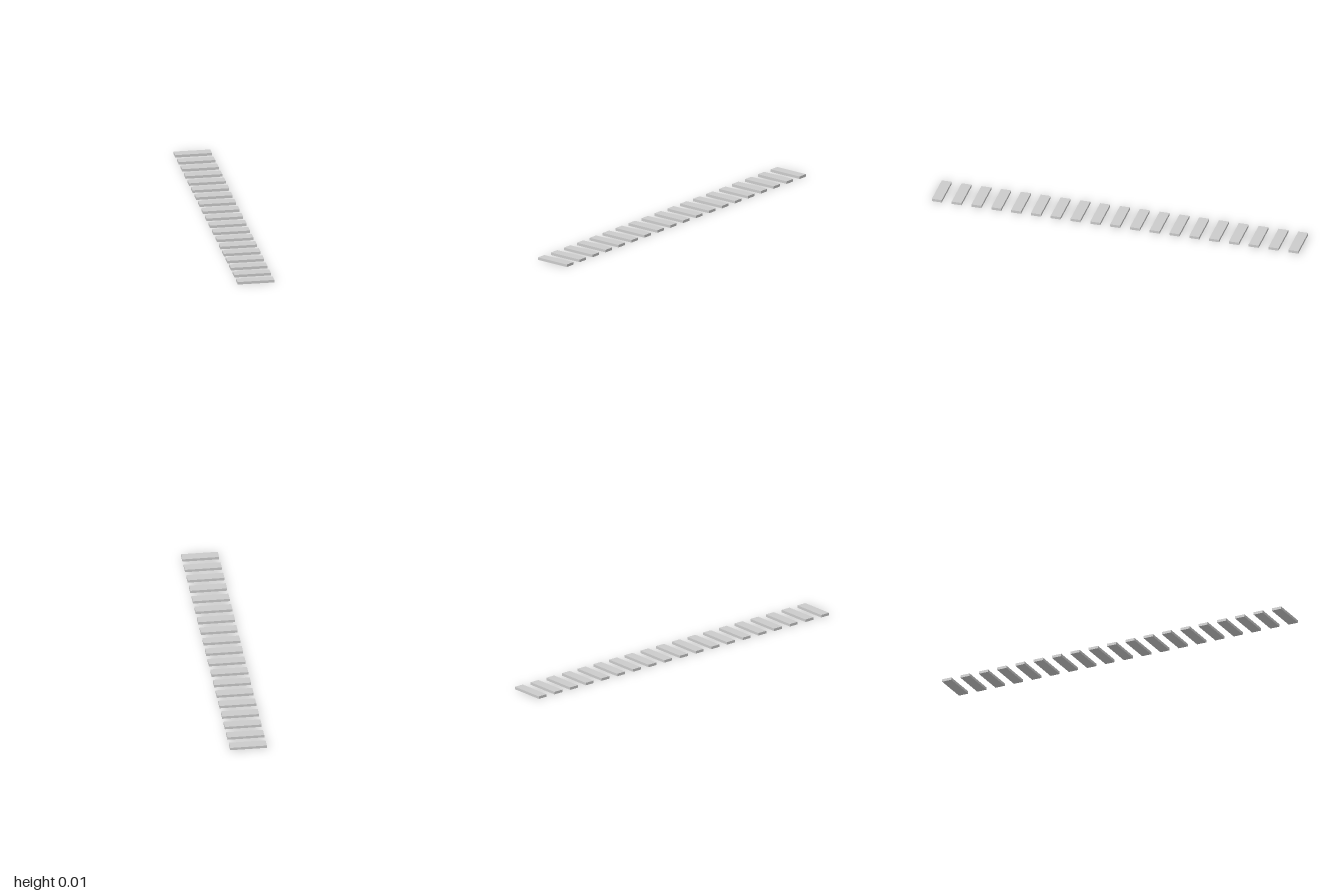
import * as THREE from 'three';

export function createModel() {
  const model = new THREE.Group();
  model.name = 'plankRow';
  const material = new THREE.MeshStandardMaterial({ color: 0xcccccc, flatShading: true });

  // One flat plank, repeated at even gaps from back to front
  const count = 19, width = 0.195, height = 0.014, depth = 0.054;
  const plank = new THREE.BoxGeometry(width, height, depth);
  const step = (2 - depth) / (count - 1);
  for (let i = 0; i < count; i++) {
    const mesh = new THREE.Mesh(plank, material);
    mesh.name = `plank${i + 1}`;
    mesh.position.set(0, height / 2, (i - (count - 1) / 2) * step);
    model.add(mesh);
  }
  return model;
}
